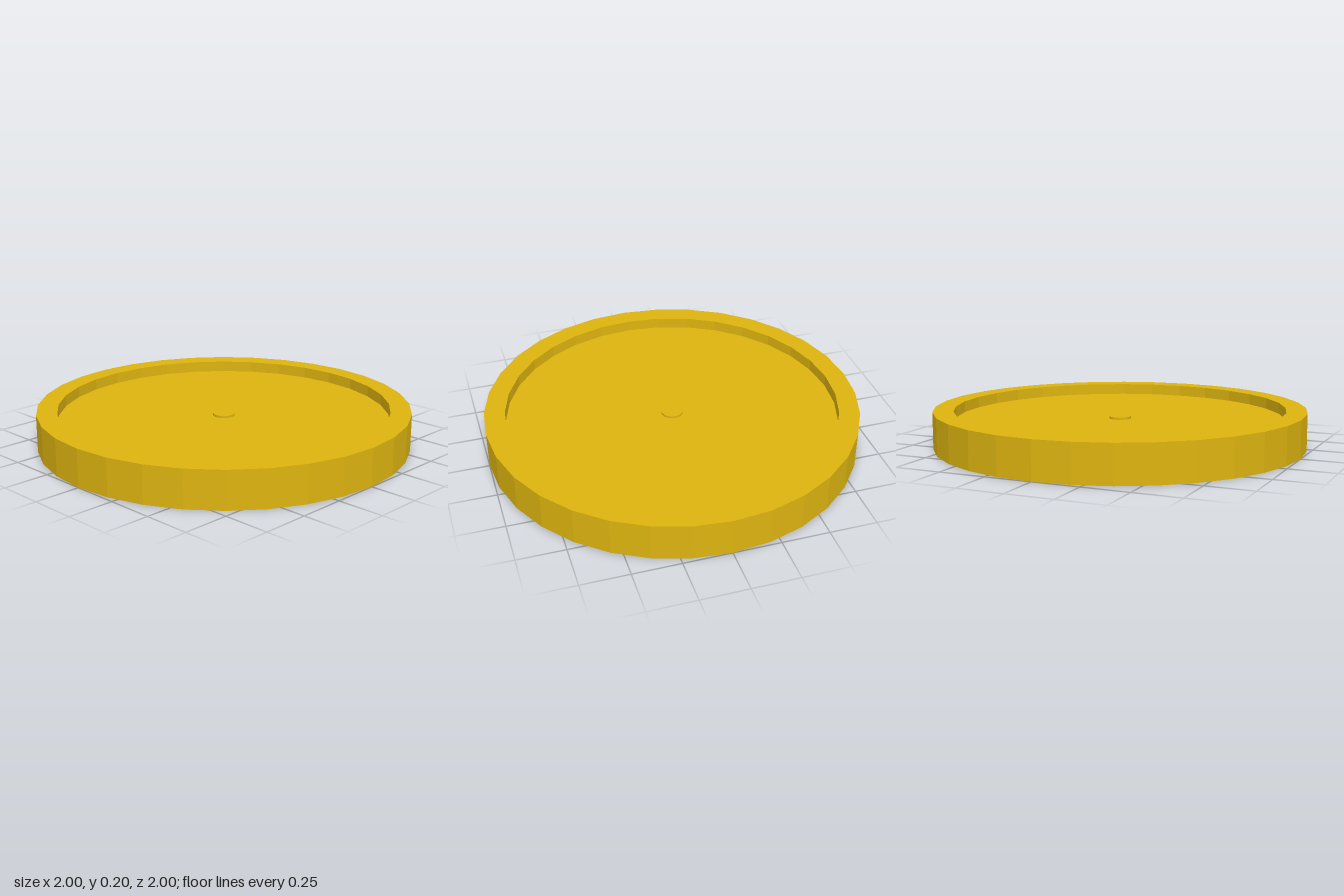
import * as THREE from 'three';

export function createModel() {
  const model = new THREE.Group();
  const material = new THREE.MeshStandardMaterial({ color: 0xdcb30f, flatShading: true });

  // Spins a closed [radius, height] profile, listed from the bottom axis up to the top axis
  const turned = (name, profile) => {
    const points = profile.map(([r, y]) => new THREE.Vector2(r, y));
    const mesh = new THREE.Mesh(new THREE.LatheGeometry(points, 32), material);
    mesh.name = name;
    model.add(mesh);
  };

  // Round tray with a raised rim above and a shallow hollow underneath
  turned('tray', [
    [0, 0.055], [0.94, 0.055], [0.94, 0], [1, 0],
    [1, 0.2], [0.89, 0.2], [0.89, 0.14], [0, 0.14],
  ]);

  // Small centre button on the floor, and its narrower end below
  turned('topButton', [[0, 0.13], [0.058, 0.13], [0.058, 0.152], [0, 0.152]]);
  turned('bottomButton', [[0, 0.05], [0.042, 0.05], [0.042, 0.07], [0, 0.07]]);

  return model;
}
